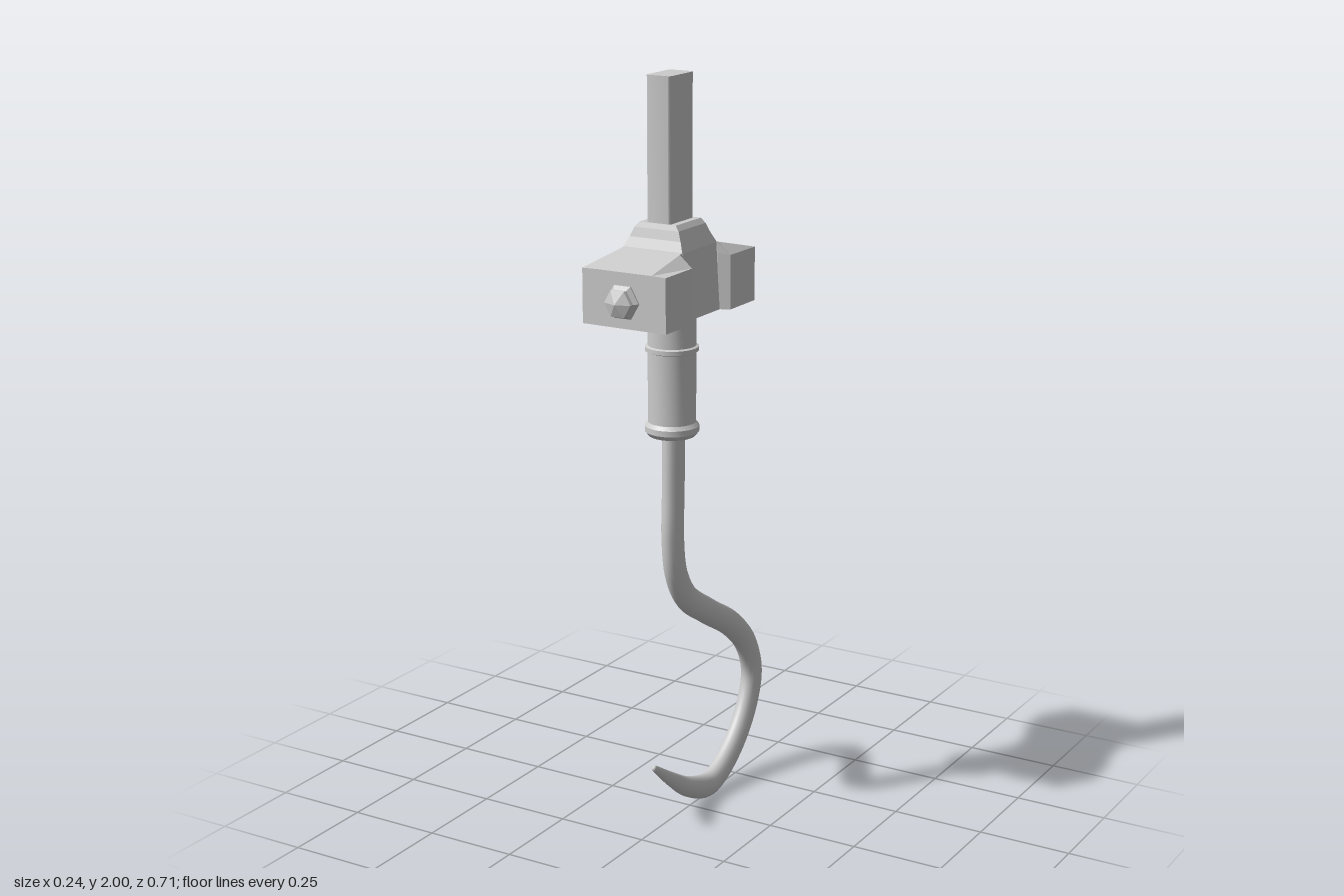
import * as THREE from 'three';
import { mergeVertices, toCreasedNormals } from 'three/addons/utils/BufferGeometryUtils.js';

const material = new THREE.MeshStandardMaterial({ color: 0xcccccc });

function add(parent, name, geometry) {
  const mesh = new THREE.Mesh(geometry, material);
  mesh.name = name;
  parent.add(mesh);
  return mesh;
}

// Closed, flat-faced solid through matching rings of [x, y, z] points
function loft(rings) {
  const pos = [];
  const tri = (...points) => points.forEach((p) => pos.push(...p));
  const n = rings[0].length;
  for (let r = 0; r < rings.length - 1; r++) {
    for (let i = 0; i < n; i++) {
      const j = (i + 1) % n;
      const [a, b, c, d] = [rings[r][i], rings[r][j], rings[r + 1][j], rings[r + 1][i]];
      tri(a, b, c);
      tri(a, c, d);
    }
  }
  const first = rings[0], last = rings[rings.length - 1];
  for (let i = 1; i < n - 1; i++) {
    tri(first[0], first[i + 1], first[i]);
    tri(last[0], last[i], last[i + 1]);
  }
  const g = new THREE.BufferGeometry();
  g.setAttribute('position', new THREE.Float32BufferAttribute(pos, 3));
  g.computeVertexNormals();
  return g;
}

const lathe = (profile, segments, crease) =>
  toCreasedNormals(new THREE.LatheGeometry(profile.map(([x, y]) => new THREE.Vector2(x, y)), segments), crease);

// Rectangular bar with softened vertical edges
function barGeometry(hx, hz, height, r) {
  const s = new THREE.Shape();
  s.moveTo(-hx + r, -hz);
  s.absarc(hx - r, -hz + r, r, -Math.PI / 2, 0);
  s.absarc(hx - r, hz - r, r, 0, Math.PI / 2);
  s.absarc(-hx + r, hz - r, r, Math.PI / 2, Math.PI);
  s.absarc(-hx + r, -hz + r, r, Math.PI, Math.PI * 1.5);
  const g = new THREE.ExtrudeGeometry(s, { depth: height, bevelEnabled: false, curveSegments: 4 });
  return toCreasedNormals(g.rotateX(-Math.PI / 2), 0.6);
}

// Oval rod swept along a curve in the yz plane, tapering to the point
function hookGeometry() {
  const path = new THREE.CatmullRomCurve3([
    [1.10, 0.10], [0.93, 0.103], [0.80, 0.106], [0.70, 0.09], [0.62, 0.04], [0.545, -0.07],
    [0.465, -0.2], [0.38, -0.285], [0.285, -0.318], [0.19, -0.288], [0.095, -0.207],
    [0.037, -0.09], [0.071, 0.03], [0.125, 0.115], [0.188, 0.2],
  ].map(([y, z]) => new THREE.Vector3(0, y, z)));
  const steps = 120, sides = 20;
  const g = new THREE.TubeGeometry(path, steps, 0.036, sides, false);
  const pos = g.attributes.position, p = new THREE.Vector3();
  for (let i = 0; i <= steps; i++) {
    const centre = path.getPointAt(i / steps);
    const t = Math.max(0, (i / steps - 0.8) / 0.2);
    const taper = 1 - 0.75 * Math.pow(t, 1.3);
    for (let j = 0; j <= sides; j++) {
      const k = i * (sides + 1) + j;
      p.fromBufferAttribute(pos, k).sub(centre).multiplyScalar(taper);
      p.x *= 0.74;
      p.add(centre);
      pos.setXYZ(k, p.x, p.y, p.z);
    }
  }
  g.deleteAttribute('uv');
  g.deleteAttribute('normal');
  const merged = mergeVertices(g, 1e-5);
  merged.computeVertexNormals();
  return merged;
}

export function createModel() {
  const model = new THREE.Group();
  model.name = 'hook';

  // Clamp head and everything on its axis
  const head = new THREE.Group();
  head.name = 'head';
  head.position.z = 0.097;
  model.add(head);

  add(head, 'shaft', barGeometry(0.035, 0.057, 0.4, 0.008)).position.y = 1.6;

  add(head, 'centreBlock', loft([
    [1.4, 0.095, 0.09], [1.572, 0.086, 0.085], [1.598, 0.074, 0.073],
    [1.622, 0.064, 0.066], [1.635, 0.053, 0.061],
  ].map(([y, x, z]) => [[x, y, z], [x, y, -z], [-x, y, -z], [-x, y, z]])));

  // Two mirrored jaws, each with a hexagonal bolt
  const jawSection = (z, wide, shoulder, top, topY) => [
    [-wide, 1.4, z], [wide, 1.4, z], [wide, shoulder, z],
    [top, topY, z], [-top, topY, z], [-wide, shoulder, z],
  ];
  for (const [name, angle] of [['front', 0], ['back', Math.PI]]) {
    const side = new THREE.Group();
    side.name = name + 'Side';
    side.rotation.y = angle;
    head.add(side);
    add(side, name + 'Jaw', loft([
      jawSection(0.082, 0.09, 1.545, 0.085, 1.574),
      jawSection(0.095, 0.12, 1.541, 0.085, 1.571),
      jawSection(0.22, 0.12, 1.54, 0.08, 1.541),
    ]));
    const bolt = add(side, name + 'Bolt', lathe([
      [0.047, -0.005], [0.047, 0.004], [0.037, 0.014], [0.036, 0.02],
      [0.039, 0.023], [0.038, 0.027], [0, 0.041],
    ], 6, 0.1).rotateY(Math.PI / 6).rotateX(Math.PI / 2));
    bolt.position.set(-0.002, 1.467, 0.22);
  }

  // Round sleeve with a narrow band and a bottom flange
  const sleeve = add(head, 'sleeve', lathe([
    [0, 1.078], [0.06, 1.078], [0.066, 1.085], [0.07, 1.09], [0.07, 1.105], [0.062, 1.115],
    [0.062, 1.299], [0.069, 1.302], [0.069, 1.313], [0.062, 1.316], [0.062, 1.41],
  ], 28, 0.5));
  sleeve.position.set(0.006, 0, 0.003);

  // Curved hook and its blunt point
  add(model, 'hookRod', hookGeometry()).position.x = 0.011;
  const tip = add(model, 'hookTip', new THREE.SphereGeometry(0.009, 14, 10));
  tip.scale.x = 0.74;
  tip.position.set(0.011, 0.188, 0.2);

  return model;
}
